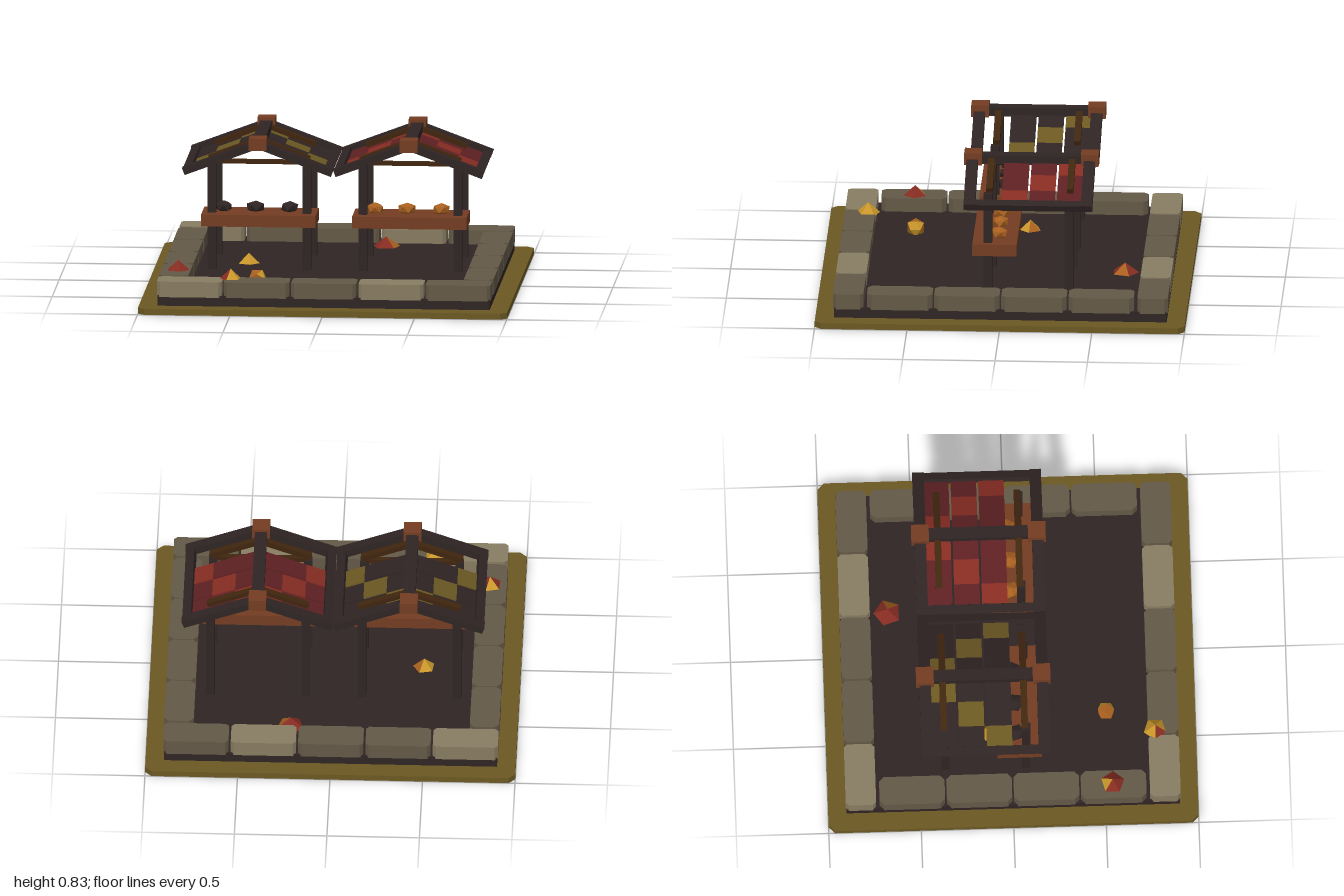
import * as THREE from 'three';

const mat = (name, color) => {
  const m = new THREE.MeshStandardMaterial({ color });
  m.name = name;
  return m;
};

export function createModel() {
  const root = new THREE.Group();
  root.name = 'marketStalls';
  const M = {
    olive: mat('olive', 0x6b5822), dark: mat('darkTimber', 0x2f2424),
    stoneLight: mat('lightStone', 0x887c62), stoneDark: mat('darkStone', 0x645947),
    brown: mat('brownWood', 0x743d22), deep: mat('deepBrown', 0x40260f),
    red: mat('red', 0x862c22), darkRed: mat('darkRed', 0x5e2022),
    gold: mat('gold', 0xc8962a), orange: mat('orange', 0xa8601f),
  };

  const add = (parent, name, geo, material, x = 0, y = 0, z = 0) => {
    const mesh = new THREE.Mesh(geo, material);
    mesh.name = name;
    mesh.position.set(x, y, z);
    parent.add(mesh);
    return mesh;
  };
  const box = (parent, name, material, w, h, d, x, y, z) =>
    add(parent, name, new THREE.BoxGeometry(w, h, d), material, x, y, z);

  // Block with its four upright corners cut off, standing on y = 0
  const cutBlock = (w, h, d, c) => {
    const a = w / 2, b = d / 2;
    const shape = new THREE.Shape([
      [a - c, -b], [a, c - b], [a, b - c], [a - c, b],
      [c - a, b], [-a, b - c], [-a, c - b], [c - a, -b],
    ].map(([x, y]) => new THREE.Vector2(x, y)));
    return new THREE.ExtrudeGeometry(shape, { depth: h, bevelEnabled: false }).rotateX(-Math.PI / 2);
  };

  // Ground
  add(root, 'basePlate', cutBlock(2, 0.033, 2, 0.035), M.olive);
  box(root, 'soil', M.dark, 1.8, 0.06, 1.8, 0, 0.06, 0);

  // Stone border: five blocks front and back, four on each side
  for (const s of [-1, 1]) {
    for (let i = 0; i < 5; i++) {
      add(root, 'borderStone', cutBlock(0.352, 0.085, 0.165, 0.018),
        i % 3 ? M.stoneDark : M.stoneLight, (i - 2) * 0.364, 0.081, s * 0.823);
    }
    for (let i = 0; i < 4; i++) {
      add(root, 'borderStone', cutBlock(0.16, 0.085, 0.354, 0.025),
        M.stoneDark, s * 0.826, 0.081, (i - 1.5) * 0.363);
    }
  }

  // Two stalls with gabled roofs
  const slope = Math.atan(0.375);
  const midZ = -0.145;
  const stall = (name, x, clothLight, clothDark, wareMaterial, wareX) => {
    const g = new THREE.Group();
    g.name = name;
    g.position.x = x;
    root.add(g);

    box(g, 'counter', M.brown, 0.62, 0.065, 0.24, 0, 0.367, 0.04);
    for (const wx of wareX) {
      const geo = new THREE.IcosahedronGeometry(1, 0).rotateZ(0.5);
      const ware = add(g, 'ware', geo, wareMaterial, wx, 0.422, 0.022);
      ware.scale.set(0.054, 0.033, 0.048);
      ware.rotation.y = wx * 5;
    }

    // Member lying along the roof slope, from ridge distance a to b (in plan)
    const sloped = (part, material, s, a, b, thick, depth, z, ridgeY) => {
      const mid = (a + b) / 2;
      const m = box(g, part, material, (b - a) / Math.cos(slope), thick, depth,
        s * mid, ridgeY - mid * 0.375, z);
      m.rotation.z = -s * slope;
    };

    for (const s of [-1, 1]) {
      for (const z of [0.077, -0.36]) {
        box(g, 'post', M.dark, 0.046, 0.6, 0.046, s * 0.257, 0.375, z);
        sloped('innerRafter', M.deep, s, 0, 0.272, 0.03, 0.036, z - 0.008, 0.798);
      }
      for (const z of [0.172, -0.462]) {
        sloped('rafter', M.dark, s, 0, 0.403, 0.04, 0.062, z, 0.793);
      }
      sloped('eaveBeam', M.dark, s, 0.355, 0.401, 0.036, 0.68, midZ, 0.79);

      // Three cloth strips, the light square stepping outward row by row
      const edges = [0, 0.125, 0.25, 0.352];
      for (let row = 0; row < 3; row++) {
        for (let col = 0; col < 3; col++) {
          sloped('roofCloth', col === row ? clothLight : clothDark, s,
            edges[col], edges[col + 1], 0.008, 0.138, -0.367 + row * 0.149, 0.782);
        }
      }
    }
    for (const z of [0.069, -0.368]) {
      box(g, 'collarBeam', M.deep, 0.5, 0.022, 0.03, 0, 0.679, z);
    }
    box(g, 'ridgeBeam', M.dark, 0.066, 0.042, 0.68, 0, 0.794, midZ);
    for (const z of [0.168, -0.463]) {
      box(g, 'ridgeCap', M.brown, 0.096, 0.067, 0.096, 0, 0.797, z);
    }
  };
  stall('darkStall', -0.409, M.olive, M.dark, M.dark, [-0.197, -0.025, 0.16]);
  stall('redStall', 0.409, M.red, M.darkRed, M.orange, [-0.195, -0.022, 0.163]);

  // Five-sided crystal with one facet in a second colour
  const crystal = (x, y, z, r, h, turn, main, accent, accentFace) => {
    const geo = new THREE.ConeGeometry(r, h, 5, 1).toNonIndexed();
    geo.clearGroups();
    geo.computeVertexNormals();
    const total = geo.attributes.position.count;
    for (let i = 0; i < total / 3; i++) geo.addGroup(i * 3, 3, i === accentFace ? 1 : 0);
    add(root, 'crystal', geo, [main, accent], x, y + h / 2, z).rotation.y = turn;
  };
  crystal(-0.815, 0.16, 0.54, 0.072, 0.06, 0.26, M.red, M.gold, 2);
  crystal(-0.512, 0.16, 0.78, 0.066, 0.06, -0.33, M.gold, M.red, 4);
  crystal(0.225, 0.085, -0.645, 0.083, 0.06, 0.63, M.red, M.orange, 0);
  crystal(-0.48, 0.085, -0.1, 0.066, 0.06, 0.2, M.gold, M.orange, 1);

  // Loose nugget on the soil
  const nugget = new THREE.IcosahedronGeometry(0.052, 0);
  nugget.clearGroups();
  for (let i = 0; i < 20; i++) nugget.addGroup(i * 3, 3, nugget.attributes.position.getX(i * 3)
    + nugget.attributes.position.getX(i * 3 + 1) + nugget.attributes.position.getX(i * 3 + 2) > 0.06 ? 1 : 0);
  add(root, 'nugget', nugget, [M.orange, M.gold], -0.387, 0.122, 0.517);

  return root;
}
